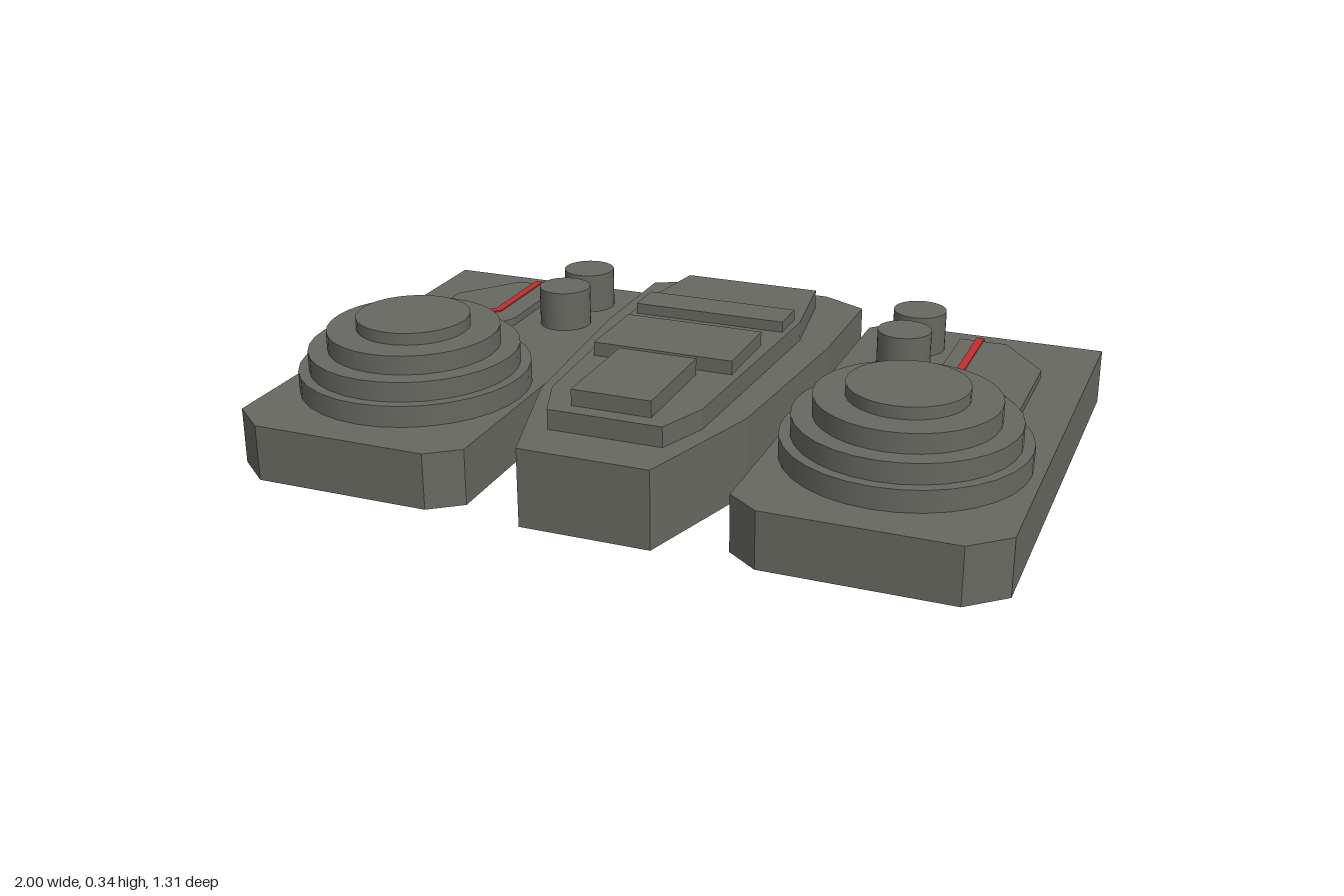
import * as THREE from 'three';

// Open-bottomed shells are seen from inside, so both sides are drawn
const grey = new THREE.MeshStandardMaterial({ name: 'hull grey', color: 0x686862, side: THREE.DoubleSide });
const red = new THREE.MeshStandardMaterial({ name: 'stripe red', color: 0xc03030, side: THREE.DoubleSide });

// Upright prism from an [x, z] outline: walls and lid, with an optional floor
function prism(name, outline, y0, y1, material = grey, floor = false) {
  const pts = outline.map(([x, z]) => new THREE.Vector2(x, -z));
  if (THREE.ShapeUtils.isClockWise(pts)) pts.reverse();
  const pos = [];
  const put = (p, y) => pos.push(p.x, y, -p.y);
  pts.forEach((a, i) => {
    const b = pts[(i + 1) % pts.length];
    put(a, y0); put(b, y0); put(b, y1);
    put(a, y0); put(b, y1); put(a, y1);
  });
  for (const [a, b, c] of THREE.ShapeUtils.triangulateShape(pts, [])) {
    [a, b, c].forEach(i => put(pts[i], y1));
    if (floor) [a, c, b].forEach(i => put(pts[i], y0));
  }
  const geo = new THREE.BufferGeometry();
  geo.setAttribute('position', new THREE.Float32BufferAttribute(pos, 3));
  geo.computeVertexNormals();
  const mesh = new THREE.Mesh(geo, material);
  mesh.name = name;
  return mesh;
}

function drum(name, r, x, z, y0, y1) {
  const mesh = new THREE.Mesh(new THREE.CylinderGeometry(r, r, y1 - y0, 32), grey);
  mesh.position.set(x, (y0 + y1) / 2, z);
  mesh.name = name;
  return mesh;
}

function box(name, halfWidth, z0, z1, y0, y1) {
  const mesh = new THREE.Mesh(new THREE.BoxGeometry(halfWidth * 2, y1 - y0, z1 - z0), grey);
  mesh.position.set(-0.002, (y0 + y1) / 2, (z0 + z1) / 2);
  mesh.name = name;
  return mesh;
}

// Half outline (x > 0, back to front) mirrored into a full one
function mirrored(half, cx) {
  const flip = half.map(([x, z]) => [cx - x, z]).reverse();
  return half.map(([x, z]) => [cx + x, z]).concat(flip);
}

// One outer block; s is its side, the rest are small per-side positions
function sideBlock(name, s, inner, domeX, postX, plateShift, stripeX) {
  const g = new THREE.Group();
  g.name = name;
  const at = (pts, dx = 0) => pts.map(([x, z]) => [s * (x + dx), z]);

  g.add(prism('blockBase', at([
    [inner + 0.046, -0.645], [1, -0.645], [1, 0.573], [0.905, 0.655],
    [inner + 0.083, 0.655], [inner, 0.594], [inner, -0.594],
  ]), 0, 0.15));

  // Stepped dome
  [[0.307, 0.15, 0.207], [0.279, 0.207, 0.26], [0.228, 0.26, 0.311], [0.15, 0.311, 0.343]]
    .forEach(([r, y0, y1]) => g.add(drum('domeStep', r, s * domeX, 0.247, y0, y1)));

  // Pair of short posts
  [-0.493, -0.321].forEach(z => g.add(drum('post', 0.073, s * postX, z, 0.15, 0.262)));

  // Raised plate with its bent stripe
  g.add(prism('plate', at([
    [0.62, -0.547], [0.751, -0.547], [0.877, -0.384], [0.877, -0.058],
    [0.81, -0.005], [0.72, -0.03], [0.703, -0.064], [0.62, -0.245],
  ], plateShift), 0.15, 0.171));
  const h = 0.011, m = 0.005, x0 = stripeX, x1 = stripeX + 0.143;
  g.add(prism('stripe', at([
    [x0 - h, -0.561], [x0 + h, -0.561], [x0 + h, -0.288 - m], [x1 + h, -0.154 - m],
    [x1 + h, -0.074], [x1 - h, -0.074], [x1 - h, -0.154 + m], [x0 - h, -0.288 + m],
  ]), 0.147, 0.175, red, true));
  return g;
}

export function createModel() {
  const model = new THREE.Group();
  model.name = 'model';

  model.add(sideBlock('leftBlock', 1, 0.342, 0.666, 0.513, 0, 0.674));
  model.add(sideBlock('rightBlock', -1, 0.347, 0.671, 0.497, 0.005, 0.698));

  // Centre block, its upper tier and three panels
  const centre = new THREE.Group();
  centre.name = 'centreBlock';
  centre.add(prism('centreBase', mirrored([
    [0.197, -0.655], [0.323, -0.59], [0.323, -0.245], [0.279, 0.29], [0.171, 0.655],
  ], -0.003), 0, 0.207));
  centre.add(prism('centreTier', mirrored([
    [0.194, -0.547], [0.233, -0.277], [0.2, 0.391], [0.15, 0.527],
  ], -0.002), 0.207, 0.26));
  centre.add(box('backPanel', 0.212, -0.29, -0.184, 0.26, 0.289));
  centre.add(box('middlePanel', 0.19, -0.073, 0.156, 0.26, 0.297));
  centre.add(box('frontPanel', 0.105, 0.185, 0.485, 0.26, 0.303));
  model.add(centre);

  return model;
}
